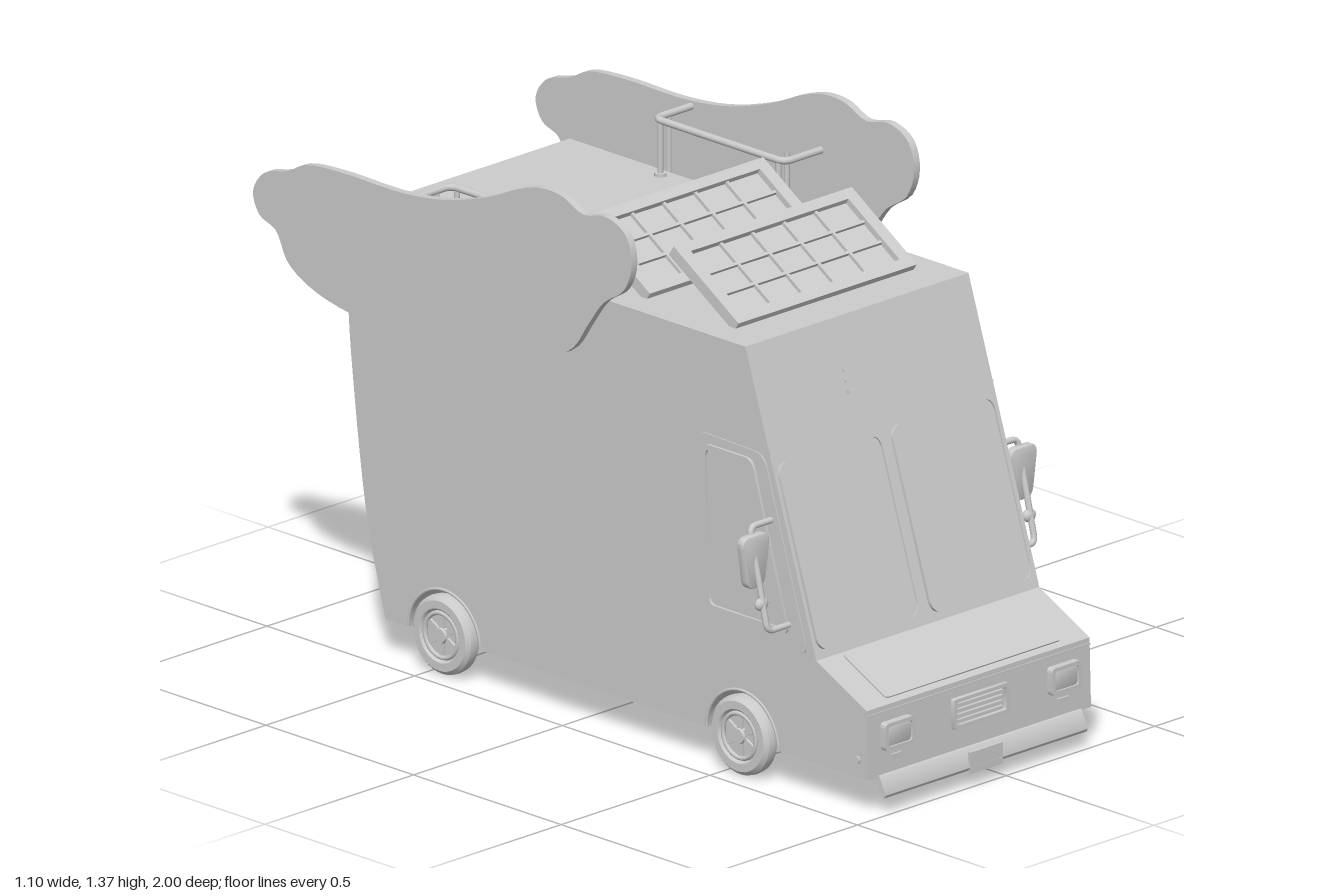
import * as THREE from 'three';
import { toCreasedNormals } from 'three/addons/utils/BufferGeometryUtils.js';

const V2 = (p) => new THREE.Vector2(...p), V3 = (p) => new THREE.Vector3(...p);
const WALL = 0.375; // half width of the body

export function createModel() {
  const model = new THREE.Group();
  const truck = new THREE.Group();
  truck.name = 'foodTruck';
  truck.position.x = -0.065;
  model.add(truck);
  const mat = new THREE.MeshStandardMaterial({ color: 0xcccccc });
  const thin = new THREE.MeshStandardMaterial({ color: 0xcccccc, side: THREE.DoubleSide });

  const add = (name, geo, parent = truck, m = mat) => {
    const mesh = new THREE.Mesh(geo, m);
    mesh.name = name;
    parent.add(mesh);
    return mesh;
  };
  const group = (name, x, y, z, rx = 0) => {
    const g = new THREE.Group();
    g.name = name;
    g.position.set(x, y, z);
    g.rotation.x = rx;
    truck.add(g);
    return g;
  };
  const box = (name, w, h, d, x, y, z, parent) =>
    add(name, new THREE.BoxGeometry(w, h, d).translate(x, y, z), parent);

  // Closed outline with rounded corners
  const rounded = (pts, r) => {
    const s = new THREE.Shape(), n = pts.length;
    pts.forEach((q, i) => {
      const p = V2(q);
      const toward = (o) => p.clone().add(V2(o).sub(p).setLength(r));
      const a = toward(pts[(i + n - 1) % n]), b = toward(pts[(i + 1) % n]);
      if (i) s.lineTo(a.x, a.y); else s.moveTo(a.x, a.y);
      s.quadraticCurveTo(p.x, p.y, b.x, b.y);
    });
    s.closePath();
    return s;
  };
  const rect = (w, h, r, x = 0, y = 0) => rounded([
    [x - w / 2, y - h / 2], [x + w / 2, y - h / 2], [x + w / 2, y + h / 2], [x - w / 2, y + h / 2]], r);
  const ring = (outer, inner) => { outer.holes.push(inner); return outer; };
  const extrude = (shape, depth, bevel = 0) => toCreasedNormals(new THREE.ExtrudeGeometry(shape, {
    depth, curveSegments: 10, bevelEnabled: bevel > 0, bevelSize: bevel, bevelThickness: bevel, bevelSegments: 2,
  }), 0.5);
  // Outline drawn in (z, y), extruded along x from x0 to x1
  const across = (shape, x0, x1, bevel) =>
    extrude(shape, x1 - x0, bevel).rotateY(-Math.PI / 2).translate(x1, 0, 0);
  // Pipe through points with rounded bends
  const pipe = (name, pts, r, bend = 0.025) => {
    const path = new THREE.CurvePath(), v = pts.map(V3);
    let from = v[0];
    for (let i = 1; i < v.length - 1; i++) {
      const a = v[i].clone().add(v[i - 1].clone().sub(v[i]).setLength(bend));
      const b = v[i].clone().add(v[i + 1].clone().sub(v[i]).setLength(bend));
      path.add(new THREE.LineCurve3(from, a));
      path.add(new THREE.QuadraticBezierCurve3(a, v[i], b));
      from = b;
    }
    path.add(new THREE.LineCurve3(from, v[v.length - 1]));
    return add(name, new THREE.TubeGeometry(path, v.length > 2 ? 60 : 1, r, 10), truck, thin);
  };

  // Body: a core and two side layers with wheel arches
  const axles = [-0.46, 0.55];
  const bodyShape = (arches) => {
    const s = new THREE.Shape();
    s.moveTo(0.975, 0.09);
    [[0.97, 0.265], [0.8, 0.35], [0.56, 1.085], [-0.79, 1.085]].forEach((p) => s.lineTo(...p));
    s.splineThru([[-0.787, 0.9], [-0.772, 0.7], [-0.725, 0.35], [-0.66, 0.09]].map(V2));
    if (arches) for (const z of axles) {
      s.lineTo(z - 0.12, 0.09);
      s.absarc(z, 0.09, 0.12, Math.PI, 0, true);
    }
    s.closePath();
    return s;
  };
  add('bodyCore', across(bodyShape(false), -0.235, 0.235));
  add('leftSideOfBody', across(ring(bodyShape(true), rect(0.57, 0.45, 0.04, -0.315, 0.615)), 0.235, WALL));
  add('rightSideOfBody', across(bodyShape(true), -WALL, -0.235));

  // Windscreen, with slots and seam above it
  const screen = group('windscreen', 0, 0.35, 0.8, -Math.atan2(0.24, 0.735));
  for (const s of [-1, 1]) {
    const pane = add('windscreenPane', extrude(rect(0.342, 0.455, 0.04), 0.003), screen);
    const gasket = add('windscreenGasket', extrude(ring(rect(0.35, 0.463, 0.04), rect(0.332, 0.445, 0.035)), 0.008), screen);
    pane.position.set(s * 0.19, 0.25, 0);
    gasket.position.set(s * 0.19, 0.25, 0);
  }
  box('screenSeam', 0.75, 0.005, 0.004, 0, 0.508, 0.001, screen);
  for (let i = 0; i < 3; i++) box('airSlot', 0.18, 0.008, 0.012, 0, 0.592 + i * 0.026, 0.003, screen);

  // Bonnet and nose
  const bonnet = group('bonnet', 0, 0.265, 0.97, -Math.atan2(0.17, 0.085));
  add('bonnetPanel', extrude(rect(0.59, 0.165, 0.012), 0.004).translate(0, 0.1, 0), bonnet);
  const nose = group('nose', 0, 0, 0.97);
  box('noseSeam', 0.75, 0.005, 0.006, 0, 0.25, 0.0, nose);
  for (const s of [-1, 1]) {
    add('headlightFrame', extrude(ring(rect(0.1, 0.07, 0.012), rect(0.08, 0.05, 0.01)), 0.02).translate(s * 0.28, 0.19, 0), nose);
    add('headlightLens', extrude(rect(0.075, 0.045, 0.008), 0.012, 0.004).translate(s * 0.28, 0.19, 0), nose);
    box('indicator', 0.035, 0.012, 0.01, s * 0.28, 0.133, 0.004, nose);
    const lamp = add('sideLamp', new THREE.CylinderGeometry(0.01, 0.01, 0.01, 12).rotateZ(Math.PI / 2));
    lamp.position.set(s * WALL, 0.135, 0.94);
  }
  add('grilleFrame', extrude(ring(rect(0.185, 0.076, 0.006), rect(0.165, 0.058, 0.006)), 0.014).translate(0, 0.188, 0), nose);
  for (let i = 0; i < 4; i++) box('grilleSlat', 0.15, 0.006, 0.012, 0, 0.168 + i * 0.0135, 0.004, nose);
  add('bumper', across(rounded([[0.93, 0.095], [0.978, 0.095], [1, 0.05], [0.994, 0.04], [0.965, 0.08], [0.93, 0.08]], 0.004), -0.34, 0.34));
  box('blankPlate', 0.11, 0.055, 0.008, 0, 0.06, 0.995);

  // Wheels
  const tyre = [[0, -0.022], [0.088, -0.022], [0.098, -0.014], [0.1, 0], [0.098, 0.012], [0.088, 0.022],
    [0.068, 0.022], [0.064, 0.019], [0.06, 0.008], [0, 0.008]].map(V2);
  for (const s of [-1, 1]) for (const z of axles) {
    const wheel = group('wheel', s * 0.37, 0.1, z);
    wheel.rotation.z = -s * Math.PI / 2;
    add('tyre', toCreasedNormals(new THREE.LatheGeometry(tyre, 40), 0.6), wheel);
    add('hubCap', new THREE.CylinderGeometry(0.018, 0.022, 0.014, 20).translate(0, 0.014, 0), wheel);
    add('rim', new THREE.TorusGeometry(0.056, 0.006, 8, 32).rotateX(Math.PI / 2).translate(0, 0.014, 0), wheel);
    for (let i = 0; i < 6; i++)
      add('spoke', new THREE.BoxGeometry(0.04, 0.01, 0.016).translate(0.036, 0.01, 0).rotateY(i * Math.PI / 3), wheel);
    const arch = add('archTrim', new THREE.TorusGeometry(0.122, 0.004, 6, 24, Math.PI).rotateY(Math.PI / 2));
    arch.position.set(s * WALL, 0.09, z);
  }

  // Cab windows, mirrors and roof figures on both sides
  const door = [[0.775, 0.355], [0.625, 0.83], [0.395, 0.835], [0.415, 0.355]];
  const glass = [[0.715, 0.395], [0.59, 0.81], [0.42, 0.81], [0.435, 0.395]];
  const glassIn = [[0.7, 0.407], [0.582, 0.798], [0.432, 0.798], [0.447, 0.407]];
  const sausage = [[0.285, 1.25], [0.265, 1.32], [0.2, 1.35], [0.12, 1.337], [0.05, 1.365], [-0.02, 1.368],
    [-0.1, 1.345], [-0.2, 1.3], [-0.35, 1.255], [-0.5, 1.237], [-0.7, 1.237], [-0.82, 1.225], [-0.88, 1.195],
    [-0.96, 1.17], [-0.997, 1.115], [-0.975, 1.06], [-0.92, 1.035], [-0.88, 0.965], [-0.8, 0.918], [-0.65, 0.885],
    [-0.45, 0.875], [-0.25, 0.89], [-0.05, 0.93], [0.08, 0.985], [0.14, 1.065], [0.19, 1.13], [0.26, 1.18]];
  const curve = new THREE.CatmullRomCurve3(sausage.map(([z, y]) => new THREE.Vector3(z, y, 0)), true);
  const outline = new THREE.Shape(curve.getPoints(110).slice(0, -1).map((p) => new THREE.Vector2(p.x, p.y)));
  for (const s of [-1, 1]) {
    const layer = (a, b) => [Math.min(s * a, s * b), Math.max(s * a, s * b)];
    add('cabDoorPanel', across(rounded(door, 0.035), ...layer(WALL - 0.01, WALL + 0.003)));
    add('cabWindowFrame', across(ring(rounded(glass, 0.025), rounded(glassIn, 0.02)), ...layer(WALL, WALL + 0.01)));

    pipe('mirrorArm', [[s * 0.37, 0.67, 0.65], [s * 0.45, 0.67, 0.65], [s * 0.45, 0.42, 0.71], [s * 0.37, 0.42, 0.71]], 0.008, 0.02);
    const mirror = add('mirror', extrude(rounded([[-0.025, -0.065], [0.025, -0.065], [0.042, 0.06], [-0.042, 0.06]], 0.022), 0.014, 0.005));
    mirror.position.set(s * 0.45, 0.59, 0.655);
    const small = add('smallMirror', new THREE.SphereGeometry(0.02, 16, 10).scale(1, 0.85, 0.6));
    small.position.set(s * 0.45, 0.485, 0.69);

    add('sausageSign', across(outline, ...layer(0.465, 0.485)));
    pipe('roofRail', [[s * 0.47, 1.225, -0.47], [s * 0.342, 1.225, -0.47], [s * 0.342, 1.225, -0.03], [s * 0.47, 1.225, -0.03]], 0.009);
    for (const z of [-0.45, -0.05]) {
      pipe('railPost', [[s * 0.342, 1.225, z], [s * 0.342, 1.08, z]], 0.007);
      pipe('signStrut', [[s * 0.39, 1.225, z - 0.02], [s * 0.39, 0.977, z - 0.02]], 0.007);
      pipe('wallStrut', [[s * 0.37, 0.977, z - 0.02], [s * 0.47, 0.977, z - 0.02]], 0.008);
      add('postFoot', new THREE.CylinderGeometry(0.015, 0.015, 0.01, 14).translate(s * 0.342, 1.088, z));
    }
  }

  // Solar panels
  for (const z of [0.455, 0.155]) {
    const panel = group('solarPanel', 0, 1.09, z, -Math.atan2(0.22, 0.14));
    add('panelFrame', extrude(ring(rect(0.6, 0.262, 0.003), rect(0.53, 0.205, 0.003)), 0.03).translate(0, 0.131, -0.018), panel);
    box('panelCells', 0.56, 0.23, 0.012, 0, 0.131, -0.01, panel);
    for (let i = 1; i < 5; i++) box('cellBar', 0.008, 0.205, 0.01, -0.265 + i * 0.106, 0.131, 0, panel);
    for (let i = 1; i < 3; i++) box('cellBar', 0.53, 0.008, 0.01, 0, 0.029 + i * 0.068, 0, panel);
  }

  // Serving hatch, shelf and small window
  add('hatchFrame', across(ring(rect(0.59, 0.47, 0.05, -0.315, 0.615), rect(0.55, 0.43, 0.035, -0.315, 0.615)), WALL - 0.01, WALL + 0.012));
  box('counter', 0.13, 0.012, 0.57, 0.305, 0.53, -0.315);
  box('counterFront', 0.01, 0.14, 0.57, 0.345, 0.46, -0.315);
  box('notice', 0.004, 0.08, 0.07, 0.352, 0.45, -0.185);
  box('shelf', 0.17, 0.016, 0.725, 0.46, 0.366, -0.268);
  for (const z of [0.065, -0.545]) {
    pipe('shelfBrace', [[0.37, 0.29, z], [0.5, 0.36, z]], 0.006);
    box('shelfMount', 0.01, 0.09, 0.014, WALL + 0.003, 0.315, z);
  }
  add('smallWindowFrame', across(ring(rect(0.18, 0.355, 0.006, 0.185, 0.583), rect(0.145, 0.318, 0.006, 0.185, 0.583)), WALL - 0.005, WALL + 0.022));
  add('smallWindowPane', across(rect(0.15, 0.32, 0.006, 0.185, 0.583), WALL - 0.005, WALL + 0.008));
  add('sideLocker', across(ring(rect(0.215, 0.11, 0.004, -0.175, 0.147), rect(0.207, 0.102, 0.004, -0.175, 0.147)), WALL - 0.002, WALL + 0.002));

  // Awning: cloth sagging in the middle, with a scalloped edge
  const drop = new THREE.CatmullRomCurve3([[0.375, 0.87, 0], [0.43, 0.835, 0], [0.5, 0.755, 0], [0.565, 0.695, 0],
    [0.603, 0.655, 0], [0.609, 0.615, 0]].map(V3));
  const cloth = new THREE.PlaneGeometry(1, 1, 60, 20), pos = cloth.attributes.position;
  for (let i = 0; i < pos.count; i++) {
    const u = pos.getX(i) + 0.5, v = 0.5 - pos.getY(i), p = drop.getPoint(v);
    const sag = 0.025 * Math.sin(Math.PI * u) * Math.sin(Math.PI * Math.min(1, v * 1.1));
    const scallop = 0.045 * Math.abs(Math.sin(u * Math.PI * 4)) * Math.max(0, v - 0.85) / 0.15;
    pos.setXYZ(i, p.x, p.y - sag - scallop, 0.07 - u * 0.71);
  }
  cloth.computeVertexNormals();
  add('awning', cloth, truck, thin);
  pipe('awningTopBar', [[0.382, 0.872, 0.085], [0.382, 0.872, -0.655]], 0.011);
  pipe('awningFrontBar', [[0.597, 0.655, 0.065], [0.597, 0.655, -0.635]], 0.006);
  for (const z of [0.05, -0.615]) {
    pipe('awningArm', [[0.38, 0.535, z], [0.597, 0.655, z]], 0.007);
    box('awningArmMount', 0.014, 0.11, 0.014, WALL + 0.004, 0.57, z);
  }
  return model;
}
